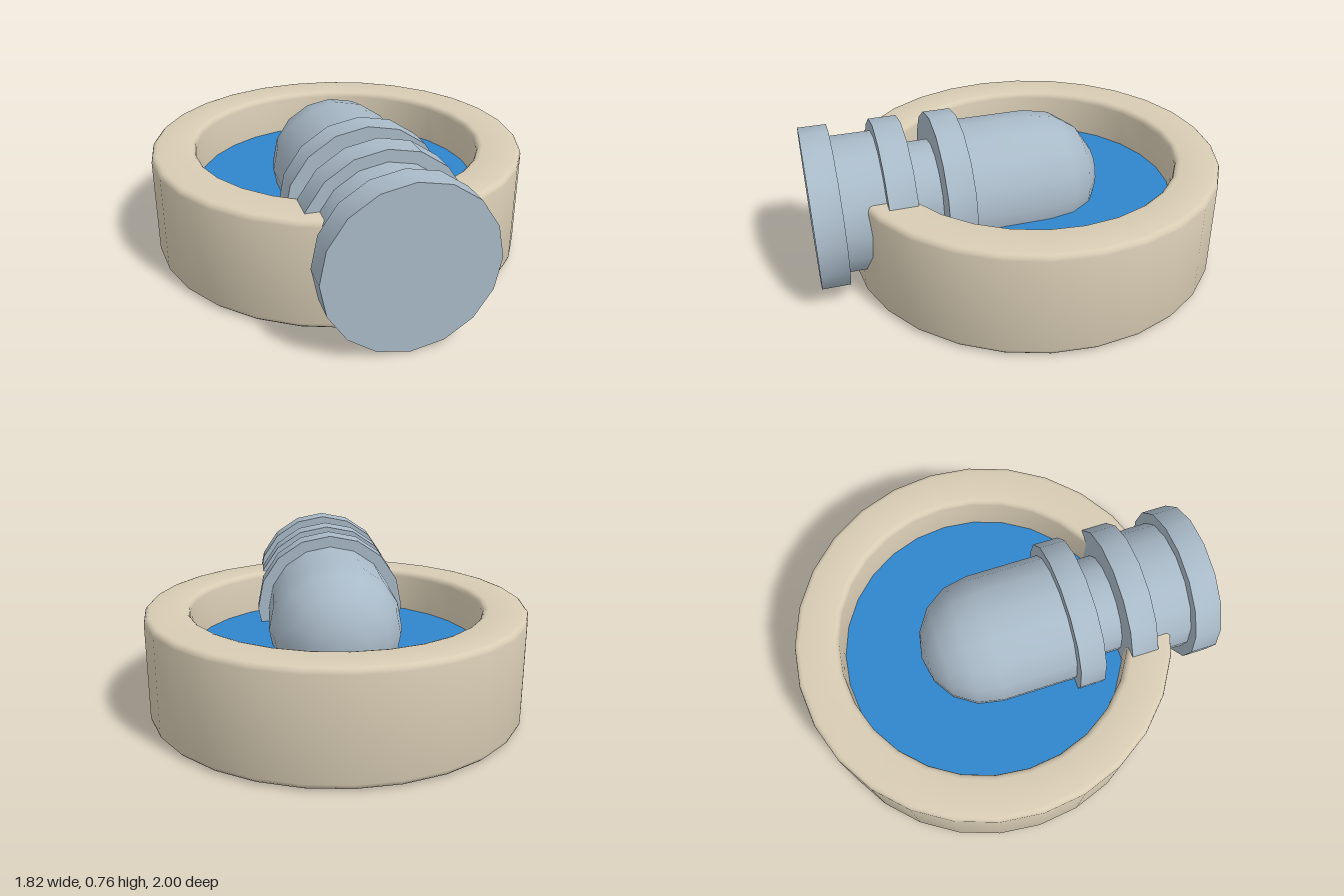
import * as THREE from 'three';
import { toCreasedNormals } from 'three/addons/utils/BufferGeometryUtils.js';

const AXIS_Y = 0.382;   // height of the plug's axis
const RING_Z = -0.09;   // centre of the round housing
const material = (color) => new THREE.MeshStandardMaterial({ color });

// Turned part from [radius, height] points listed from low to high on the outside
function turned(points, sides) {
  const profile = points.map(([r, h]) => new THREE.Vector2(r, h));
  return toCreasedNormals(new THREE.LatheGeometry(profile, sides), 0.6);
}

// Quarter-round corner, centre (r, h), from angle a to angle b in degrees
function corner(r, h, radius, a, b, steps = 3) {
  return Array.from({ length: steps + 1 }, (_, i) => {
    const t = THREE.MathUtils.degToRad(a + ((b - a) * i) / steps);
    return [r + radius * Math.cos(t), h + radius * Math.sin(t)];
  });
}

export function createModel() {
  const model = new THREE.Group();
  const beige = material(0xd8ccb4);
  const steel = material(0xa9bac8);
  const blue = material(0x2f86cc);

  const add = (name, geometry, mat, parent) => {
    const mesh = new THREE.Mesh(geometry, mat);
    mesh.name = name;
    parent.add(mesh);
    return mesh;
  };

  // Round housing with softened edges and a closed bottom
  const housing = new THREE.Group();
  housing.name = 'housing';
  housing.position.z = RING_Z;
  model.add(housing);
  const b = 0.028;
  add('ring', turned([
    [0, 0.004],
    ...corner(0.91 - b, 0.004 + b, b, -90, 0),
    ...corner(0.91 - b, 0.522 - b, b, 0, 90),
    ...corner(0.698 + b, 0.522 - b, b, 90, 180),
    [0.698, 0.29],
  ], 28), beige, housing);

  // Flat coloured floor inside the ring
  const floor = add('floor', new THREE.CircleGeometry(0.7, 28), blue, housing);
  floor.rotation.x = -Math.PI / 2;
  floor.position.y = 0.31;

  // Plug lying along z through the front of the ring
  const plug = new THREE.Group();
  plug.name = 'plug';
  plug.position.y = AXIS_Y;
  plug.rotation.x = Math.PI / 2;
  model.add(plug);
  const cylinder = (name, r, z0, z1) =>
    add(name, turned([[0, z0], [r, z0], [r, z1], [0, z1]], 16), steel, plug);

  // Round-nosed body
  add('nose', turned([
    ...corner(0, -0.085, 0.326, -90, 0, 4),
    [0.326, 0.3],
  ], 16), steel, plug);

  // Narrow neck and wider rear shaft
  cylinder('neck', 0.25, 0.35, 0.6);
  cylinder('shaft', 0.326, 0.6, 0.93);

  // Collars and end cap
  cylinder('innerCollar', 0.382, 0.285, 0.413);
  cylinder('outerCollar', 0.382, 0.545, 0.675);
  cylinder('endCap', 0.382, 0.87, 1);

  return model;
}
